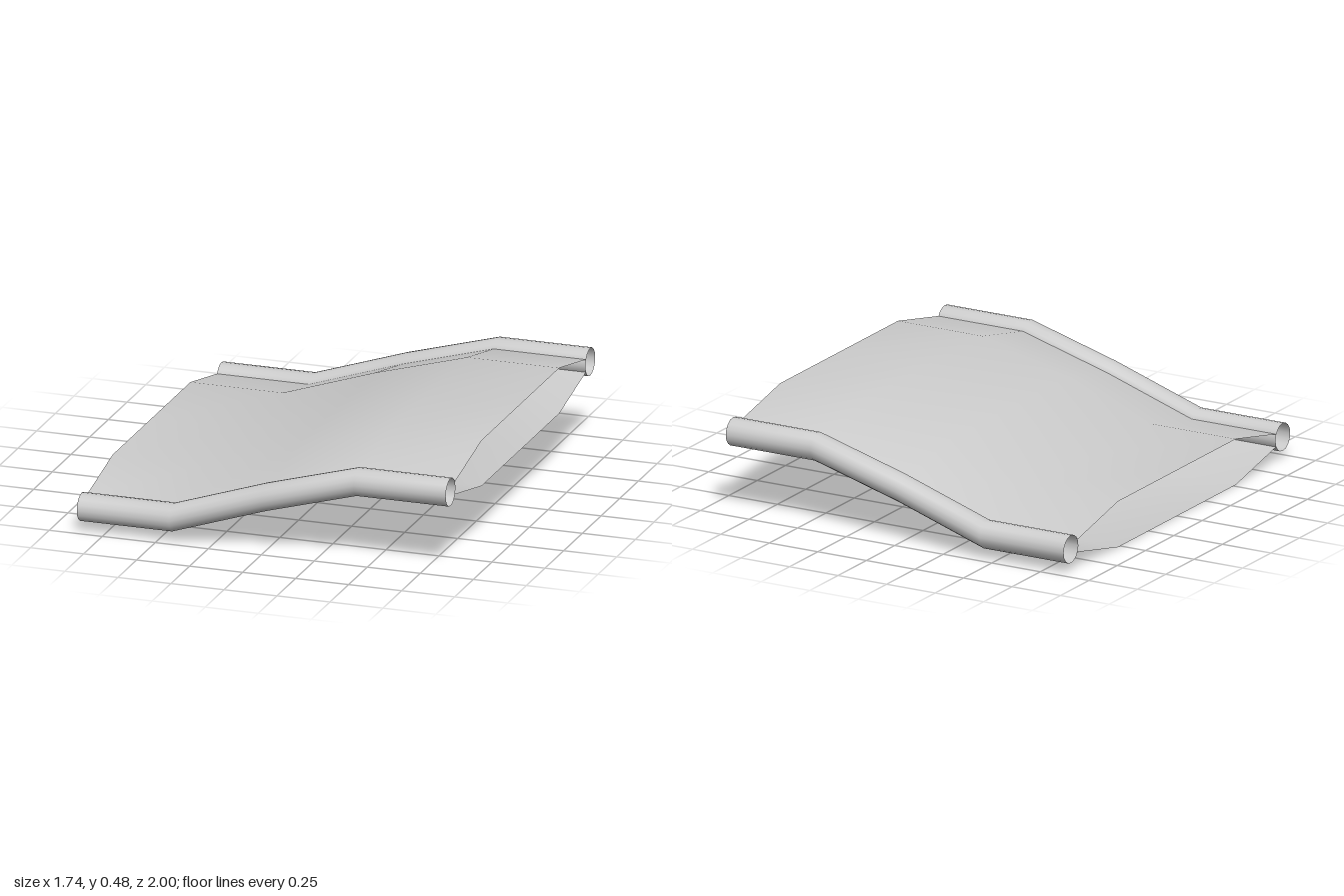
import * as THREE from 'three';

// Path along x: [x, base height]
const PATH = [[-0.87, 0], [-0.435, 0], [0, 0.145], [0.435, 0.268], [0.87, 0.268]];

// Sweeps a [z, y] cross-section along the path, keeping every section vertical
function sweep(name, section, closed = false) {
  const n = section.length;
  const positions = [];
  const indices = [];
  for (const [x, base] of PATH) {
    for (const [z, y] of section) positions.push(x, base + y, z);
  }
  for (let i = 0; i < PATH.length - 1; i++) {
    for (let j = 0; j < (closed ? n : n - 1); j++) {
      const k = (j + 1) % n;
      const a = i * n + j, b = i * n + k;
      indices.push(a, b, a + n, b, b + n, a + n);
    }
  }
  const geometry = new THREE.BufferGeometry();
  geometry.setAttribute('position', new THREE.Float32BufferAttribute(positions, 3));
  geometry.setIndex(indices);
  geometry.computeVertexNormals();
  const mesh = new THREE.Mesh(geometry, new THREE.MeshStandardMaterial({ color: 0xcccccc, side: THREE.DoubleSide }));
  mesh.name = name;
  return mesh;
}

export function createModel() {
  const group = new THREE.Group();
  group.name = 'rampDeck';

  // Hollow deck: top and bottom skins, open at both ends
  const top = [[-0.875, 0.137], [-0.52, 0.214], [0, 0.214], [0.52, 0.214], [0.875, 0.137]];
  const bottom = top.map(([z, y]) => [-z, 0.214 - y]);
  group.add(sweep('deckTop', top), sweep('deckBottom', bottom));

  // Open tubular rails along both edges
  const sides = 16, radius = 0.065;
  for (const [name, side] of [['frontRail', 1], ['backRail', -1]]) {
    const ring = Array.from({ length: sides }, (_, i) => {
      const t = (i / sides) * Math.PI * 2;
      return [side * 0.935 + Math.sin(t) * radius, 0.107 + Math.cos(t) * radius];
    });
    group.add(sweep(name, ring, true));
  }
  return group;
}
